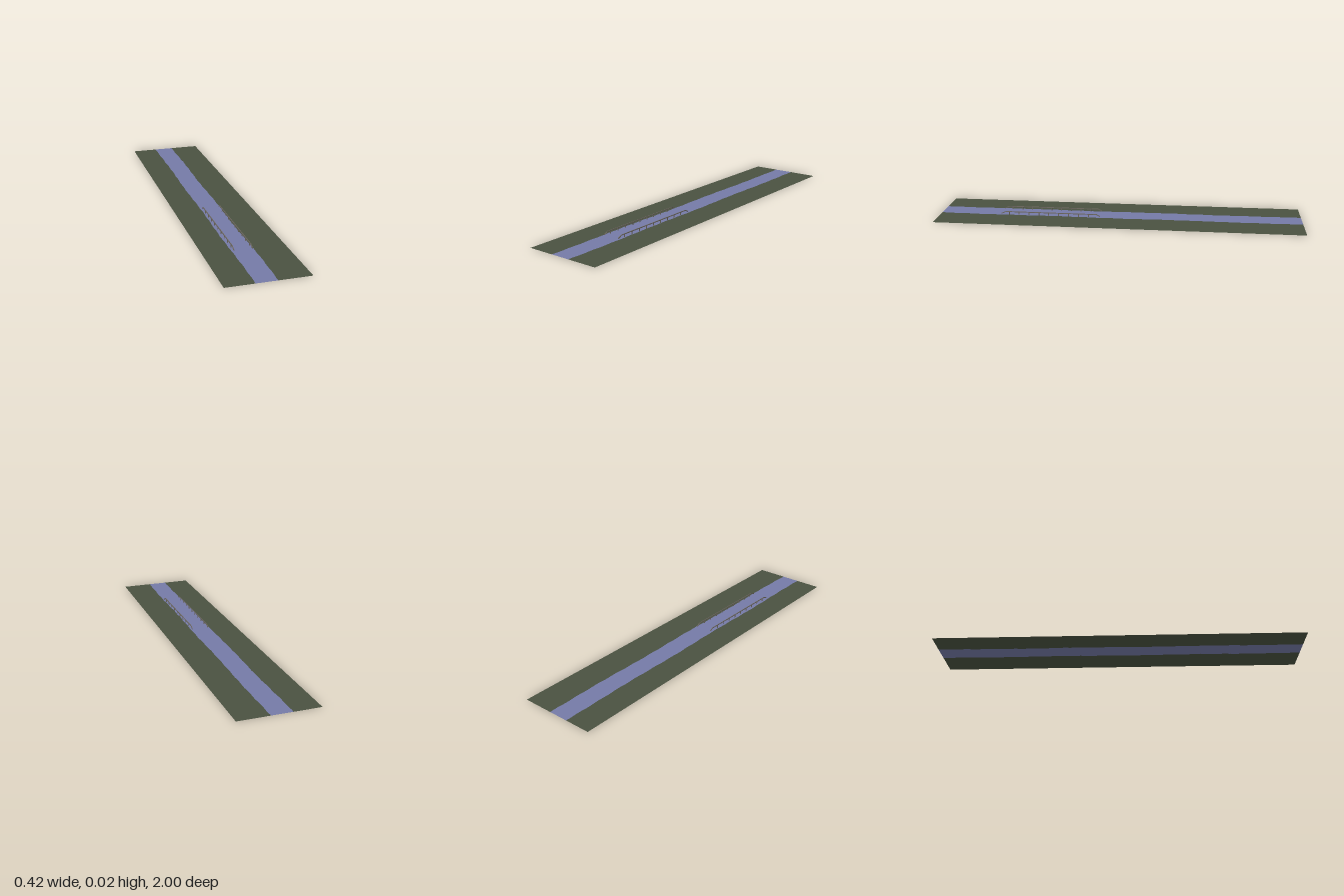
import * as THREE from 'three';

const mat = (name, color, side = THREE.FrontSide) => {
  const m = new THREE.MeshStandardMaterial({ color, side });
  m.name = name;
  return m;
};

export function createModel() {
  const model = new THREE.Group();
  model.name = 'roadSection';
  const grass = mat('grassGreen', 0x4a5240, THREE.DoubleSide);
  const asphalt = mat('asphaltBlue', 0x757aa6, THREE.DoubleSide);
  const metal = mat('railGrey', 0x6a655c);

  const add = (parent, name, geometry, material) => {
    const mesh = new THREE.Mesh(geometry, material);
    mesh.name = name;
    parent.add(mesh);
    return mesh;
  };

  // Uneven road edges, shared by the road and both verges
  const STEPS = 80;
  const edge = (base, phase) => Array.from({ length: STEPS + 1 }, (_, i) => {
    const z = -1 + (2 * i) / STEPS;
    const x = base + 0.002 * Math.sin(9 * z + phase) + 0.0015 * Math.sin(47 * z + 2 * phase);
    return new THREE.Vector2(x, -z);
  });
  const straight = (x) => [new THREE.Vector2(x, 1), new THREE.Vector2(x, -1)];
  const leftEdge = edge(0.045, 1.3);
  const rightEdge = edge(-0.064, 0.4);

  // Flat strip lying on y = 0 between two edges
  const strip = (name, low, high, material) => {
    const shape = new THREE.Shape([...low, ...[...high].reverse()]);
    add(model, name, new THREE.ShapeGeometry(shape).rotateX(-Math.PI / 2), material);
  };
  strip('rightVerge', straight(-0.21), rightEdge, grass);
  strip('road', rightEdge, leftEdge, asphalt);
  strip('leftVerge', leftEdge, straight(0.21), grass);

  // Guard rails: a beam with sloping ends on nine posts
  const beam = new THREE.Shape([
    [0.105, 0.003], [0.125, 0.014], [0.635, 0.014], [0.66, 0.003],
    [0.66, 0.007], [0.636, 0.018], [0.124, 0.018], [0.105, 0.007],
  ].map(([z, y]) => new THREE.Vector2(z, y)));
  const beamGeometry = new THREE.ExtrudeGeometry(beam, { depth: 0.004, bevelEnabled: false })
    .translate(0, 0, -0.002).rotateY(-Math.PI / 2);
  const postGeometry = new THREE.BoxGeometry(0.003, 0.015, 0.005).translate(0, 0.0075, 0);

  for (const [name, x] of [['leftGuardRail', 0.04], ['rightGuardRail', -0.053]]) {
    const rail = new THREE.Group();
    rail.name = name;
    rail.position.x = x;
    add(rail, 'beam', beamGeometry, metal);
    for (let i = 0; i < 9; i++) {
      add(rail, 'post', postGeometry, metal).position.z = 0.169 + i * 0.0559;
    }
    model.add(rail);
  }
  return model;
}
